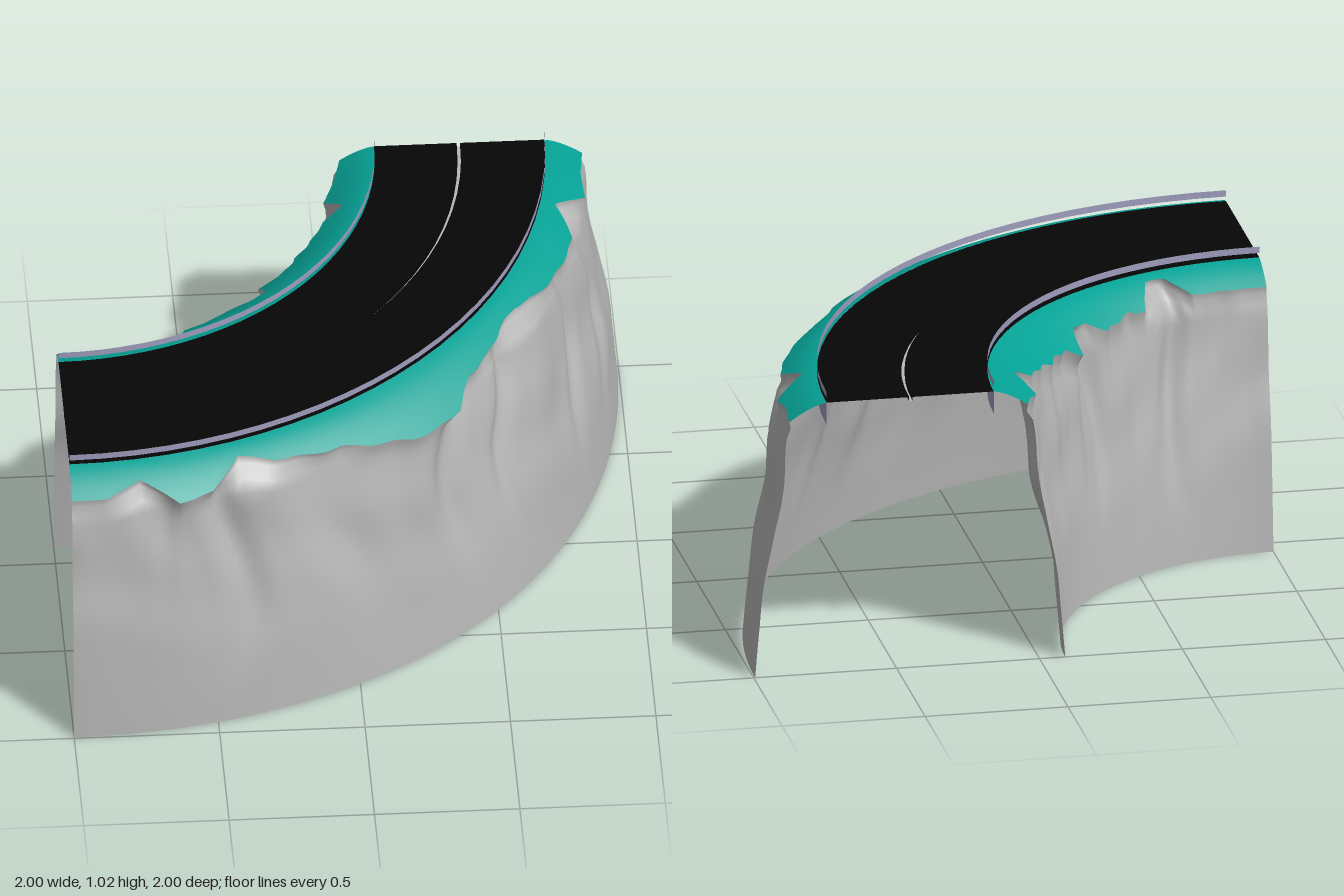
import * as THREE from 'three';

const ROAD_Y = 0.985, INNER = 1.16, OUTER = 1.745;
const { smoothstep, lerp } = THREE.MathUtils;
const mat = (name, color) => {
  const m = new THREE.MeshStandardMaterial({ color, side: THREE.DoubleSide });
  m.name = name;
  return m;
};

// Linear lookup in a list of evenly spaced values, t from 0 to 1
function lookup(list, t) {
  const k = t * (list.length - 1), i = Math.min(Math.floor(k), list.length - 2);
  return lerp(list[i], list[i + 1], k - i);
}

// Sheet swept through the quarter bend; fn(angle, v) returns [radius, height]
function sweep(name, material, nu, nv, fn) {
  const pos = [], idx = [];
  for (let i = 0; i <= nu; i++) {
    const a = (i / nu) * Math.PI / 2;
    for (let j = 0; j <= nv; j++) {
      const [r, y] = fn(a, j / nv);
      pos.push(-1 + r * Math.sin(a), y, -1 + r * Math.cos(a));
      if (i < nu && j < nv) {
        const p = i * (nv + 1) + j, q = p + nv + 1;
        idx.push(p, p + 1, q, q, p + 1, q + 1);
      }
    }
  }
  const g = new THREE.BufferGeometry();
  g.setAttribute('position', new THREE.Float32BufferAttribute(pos, 3));
  g.setIndex(idx);
  g.computeVertexNormals();
  const mesh = new THREE.Mesh(g, material);
  mesh.name = name;
  return mesh;
}

// How far the rock stands out from the road edge, from the foot up to the deck
const ROCK = [0.25, 0.242, 0.233, 0.225, 0.211, 0.191, 0.173, 0.16, 0.147, 0.132, 0];

// Grass width around the bend, and gullies as [angle, depth, width]
const OUTER_GRASS = [0.13, 0.13, 0.08, 0.165, 0.15, 0.06, 0.1, 0.12, 0.13, 0.16, 0.19, 0.205, 0.19,
  0.13, 0.12, 0.09, 0.08, 0.11, 0.125, 0.13, 0.13, 0.05, 0.14, 0.12, 0.13];
const INNER_GRASS = [0.13, 0.13, 0.13, 0.13, 0.13, 0.05, 0.045, 0.15, 0.14, 0.155, 0.17, 0.13, 0.115,
  0.2, 0.17, 0.16, 0.17, 0.155, 0.15, 0.14, 0.09, 0.17, 0.15, 0.135, 0.12];
const OUTER_GULLIES = [[0.3, 0.045, 0.035], [0.78, 0.045, 0.035], [0.93, 0.035, 0.022],
  [1.2, 0.03, 0.02], [1.36, 0.035, 0.025]];
const INNER_GULLIES = [[0.36, 0.04, 0.05], [0.76, 0.025, 0.04], [1.31, 0.03, 0.04]];

const grassY = (d) => ROAD_Y - 0.11 * (d / 0.19) ** 1.5;

function addCliff(group, rock, grass, { name, edge, dir, widths, gullies, ripple, foot }) {
  const width = (a) => lookup(widths, a / (Math.PI / 2)) + 0.005 * Math.sin(a * 67) * Math.sin(a * 2);
  // Vertical folds and slight ledges that fade out towards the foot
  const fold = (a, y) => {
    const lean = a + 0.03 * Math.sin(y * 7 + a * 5);
    let n = ripple * (0.009 * Math.sin(lean * 19 + 1) + 0.005 * Math.sin(lean * 41 + y * 4))
      + 0.006 * Math.sin(y * 17 + a * 6) * Math.sin(a * 9 + y * 3);
    for (const [g, depth, w] of gullies) n -= depth * Math.exp(-(((lean - g) / w) ** 2));
    const bulge = 0.5 * Math.max(0, width(a) - 0.13) * smoothstep(y, 0.3, 0.85);
    return n * smoothstep(y, 0.1, 0.65) + bulge + foot * Math.sin(a * 2) ** 2 * (1 - y);
  };

  group.add(sweep(name + 'GrassVerge', grass, 144, 5, (a, v) => {
    const d = width(a) * v;
    return [edge + dir * d, grassY(d)];
  }));

  group.add(sweep(name + 'RockFace', rock, 144, 18, (a, v) => {
    const d0 = width(a), y = grassY(d0) * (1 - v ** 1.25);
    // Blend from the grass line onto the folded face
    const d = lerp(d0, lookup(ROCK, y / ROAD_Y) + fold(a, y), smoothstep(v, 0, 0.12));
    return [edge + dir * d, y];
  }));
}

export function createModel() {
  const model = new THREE.Group();
  model.name = 'cliffRoadBend';
  const rock = mat('rock grey', 0xb6b6b6);
  const grass = mat('teal grass', 0x06a296);
  const asphalt = mat('asphalt black', 0x060606);
  const metal = mat('lavender metal', 0x9e9cbc);
  const paint = mat('line paint', 0xb8b8b8);

  // Two road lanes with a narrow groove between them
  const groove = 0.015;
  for (const [name, r, mid] of [['inner', INNER, 1.444], ['outer', OUTER, 1.456]]) {
    model.add(sweep(name + 'Lane', asphalt, 24, 1, (a, v) => [lerp(mid, r, v), ROAD_Y]));
    model.add(sweep(name + 'GrooveWall', asphalt, 24, 1, (a, v) => [mid, ROAD_Y - groove * v]));

    // Guard rail above the deck edge and skirt below it
    model.add(sweep(name + 'GuardRail', metal, 24, 1, (a, v) => [r, 1.024 - 0.023 * v]));
    model.add(sweep(name + 'DeckSkirt', metal, 24, 1, (a, v) => [r, ROAD_Y - 0.08 * v]));
  }
  // Centre line at the bottom of the groove
  model.add(sweep('centreLine', paint, 24, 1, (a, v) => [1.444 + 0.012 * v, ROAD_Y - groove]));

  addCliff(model, rock, grass, {
    name: 'outer', edge: OUTER, dir: 1, widths: OUTER_GRASS, gullies: OUTER_GULLIES, ripple: 1, foot: 0.03,
  });
  addCliff(model, rock, grass, {
    name: 'inner', edge: INNER, dir: -1, widths: INNER_GRASS, gullies: INNER_GULLIES, ripple: 0.4, foot: 0.005,
  });
  return model;
}
